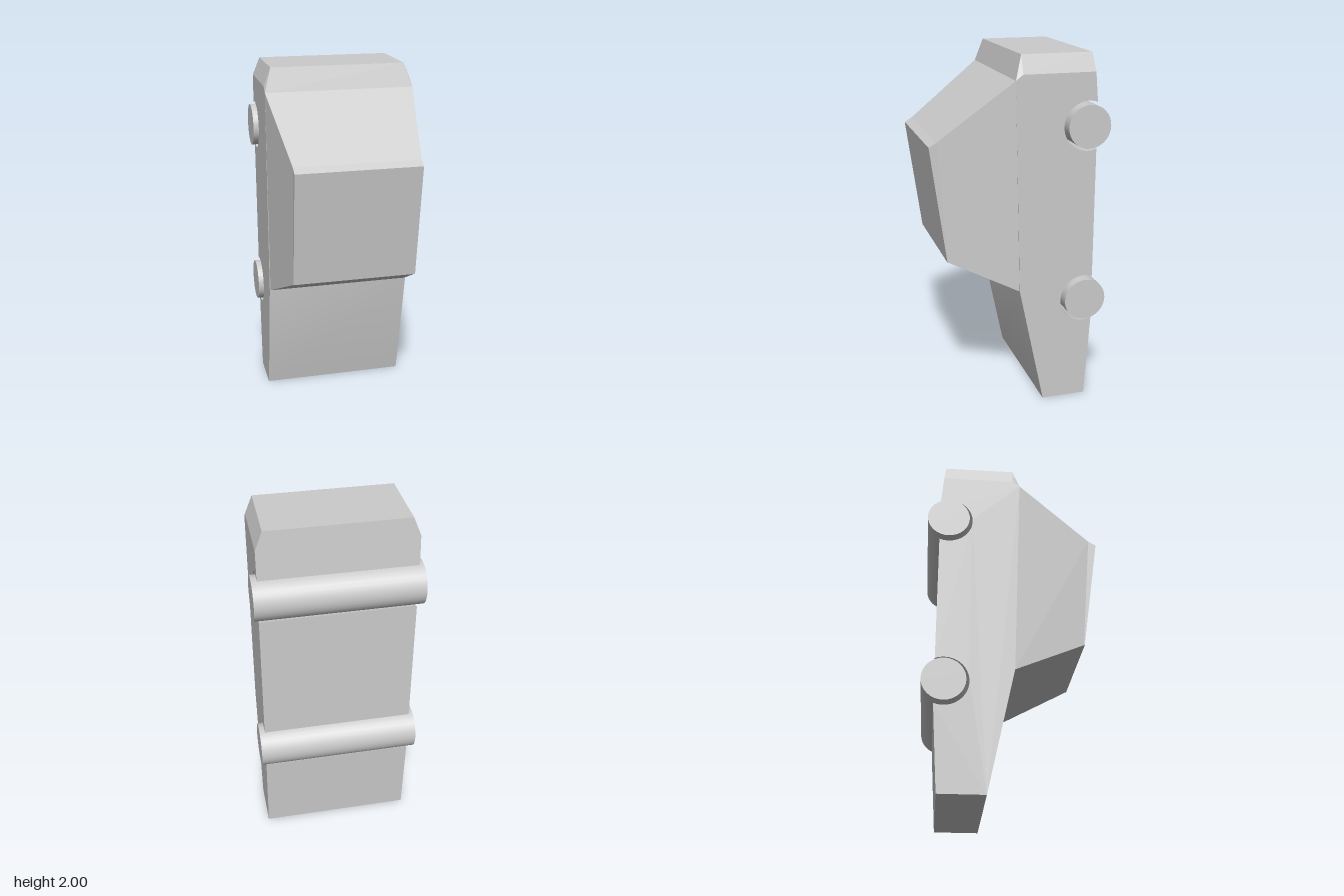
import * as THREE from 'three';
import { toCreasedNormals } from 'three/addons/utils/BufferGeometryUtils.js';
import { ConvexGeometry } from 'three/addons/geometries/ConvexGeometry.js';

const HALF = 0.42; // half width of the body
const AXLE_Z = -0.37, AXLE_Y = [1.61, 0.61];
const WHEEL_R = 0.12, ARCH_R = 0.137;

export function createModel() {
  const group = new THREE.Group();
  const flat = new THREE.MeshStandardMaterial({ color: 0xcccccc, flatShading: true });
  const smooth = new THREE.MeshStandardMaterial({ color: 0xcccccc });

  const add = (name, geometry, material) => {
    const mesh = new THREE.Mesh(geometry, material);
    mesh.name = name;
    group.add(mesh);
    return mesh;
  };

  // Convex block from [half width, y, z] corners, mirrored across x
  const block = (name, corners) => add(name, new ConvexGeometry(
    corners.flatMap(([x, y, z]) => [new THREE.Vector3(x, y, z), new THREE.Vector3(-x, y, z)])
  ), flat);

  // Lower body: side profile (z, y) with two open wheel channels
  const profile = new THREE.Shape();
  profile.moveTo(-0.135, 0);
  profile.lineTo(0.01, 0.69);
  profile.lineTo(0.04, 1.87);
  profile.lineTo(0, 1.9);
  profile.lineTo(-0.405, 1.9);
  const a = Math.PI - Math.acos(0.05 / ARCH_R);
  for (const y of AXLE_Y) profile.absarc(AXLE_Z, y, ARCH_R, a, -a, true);
  profile.lineTo(-0.39, 0);
  profile.closePath();
  const body = new THREE.ExtrudeGeometry(profile, { depth: HALF * 2, bevelEnabled: false, curveSegments: 24 });
  body.rotateY(-Math.PI / 2).translate(HALF, 0, 0);
  add('body', toCreasedNormals(body, 0.5), smooth);

  // Tapered end of the body
  block('bodyEnd', [
    [HALF, 1.87, 0.04], [HALF, 1.9, 0], [HALF, 1.9, -0.405],
    [0.38, 2, 0], [0.38, 2, -0.395],
  ]);

  // Cabin, narrowing towards the roof
  block('cabin', [
    [HALF, 1.87, 0.04], [0.415, 0.69, 0.01],
    [0.348, 1.555, 0.45], [0.348, 0.88, 0.4],
  ]);

  // Roof wedge
  block('roof', [
    [0.348, 1.555, 0.45], [0.348, 1.53, 0.493], [0.348, 0.88, 0.404], [0.348, 0.88, 0.4],
  ]);

  // Full-width wheel rollers
  AXLE_Y.forEach((y, i) => {
    const roller = new THREE.CylinderGeometry(WHEEL_R, WHEEL_R, 0.896, 32);
    const wheel = add(i ? 'lowerWheels' : 'upperWheels', roller, smooth);
    wheel.rotation.z = Math.PI / 2;
    wheel.position.set(0, y, AXLE_Z);
  });

  return group;
}
